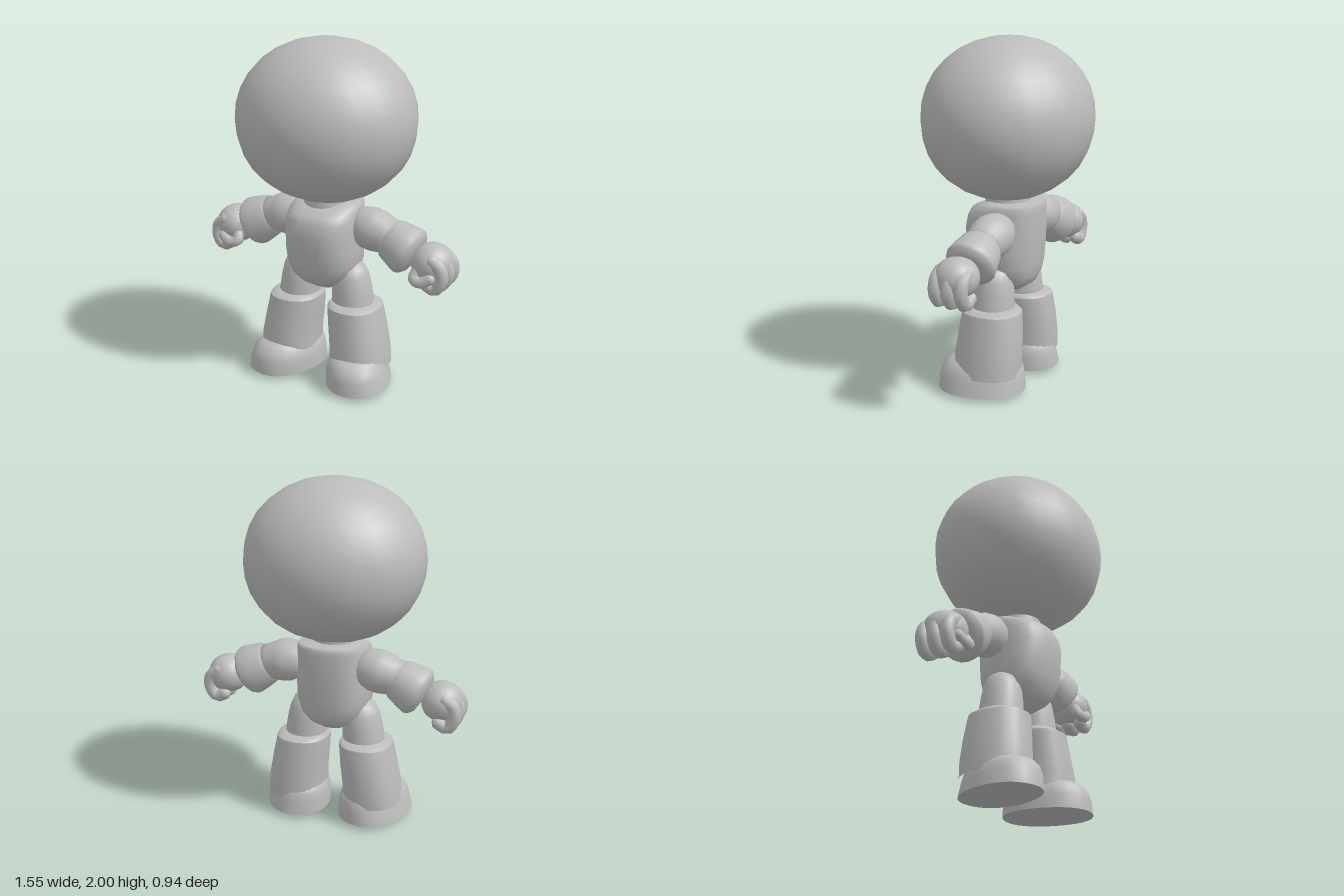
import * as THREE from 'three';
import { mergeGeometries } from 'three/addons/utils/BufferGeometryUtils.js';

const grey = new THREE.MeshStandardMaterial({ color: 0xbcbcbc });
grey.name = 'clay grey';

// Capped skin over rounded cross-sections, bottom to top: [y, cx, cz, rx, rz]
function loft(rings, power = 2, sides = 24) {
  const pos = [], idx = [];
  const bend = (v) => Math.sign(v) * Math.abs(v) ** (2 / power);
  for (const [y, cx, cz, rx, rz] of rings) {
    for (let i = 0; i < sides; i++) {
      const a = (i / sides) * Math.PI * 2;
      pos.push(cx + rx * bend(Math.cos(a)), y, cz + rz * bend(Math.sin(a)));
    }
  }
  for (let r = 0; r < rings.length - 1; r++) {
    for (let i = 0; i < sides; i++) {
      const j = (i + 1) % sides;
      const a = r * sides + i, b = r * sides + j;
      idx.push(a, a + sides, b, b, a + sides, b + sides);
    }
  }
  const g = new THREE.BufferGeometry();
  g.setAttribute('position', new THREE.Float32BufferAttribute(pos, 3));
  g.setIndex(idx);
  g.computeVertexNormals();
  return g;
}

// Round limb segment from p along the direction to q: profile of [distance, radius]
function limb(p, q, profile) {
  const start = new THREE.Vector3(...p);
  const dir = new THREE.Vector3(...q).sub(start).normalize();
  const g = loft(profile.map(([d, r]) => [d, 0, 0, r, r]), 2, 20);
  g.applyQuaternion(new THREE.Quaternion().setFromUnitVectors(new THREE.Vector3(0, 1, 0), dir));
  return g.translate(...p);
}

// Slightly squared ellipsoid
function blob(centre, radii, power = 2, w = 24, h = 16) {
  const g = new THREE.SphereGeometry(1, w, h);
  const p = g.attributes.position, v = new THREE.Vector3();
  for (let i = 0; i < p.count; i++) {
    v.fromBufferAttribute(p, i);
    const s = (Math.abs(v.x) ** power + Math.abs(v.y) ** power + Math.abs(v.z) ** power) ** (-1 / power);
    p.setXYZ(i, v.x * s, v.y * s, v.z * s);
  }
  return g.scale(...radii).translate(...centre);
}

// Curled finger with rounded ends
function finger(points, r) {
  const path = new THREE.CatmullRomCurve3(points.map((p) => new THREE.Vector3(...p)));
  const ends = [points[0], points[points.length - 1]];
  return mergeGeometries([
    new THREE.TubeGeometry(path, 12, r, 10),
    ...ends.map((e) => new THREE.SphereGeometry(r, 10, 8).translate(...e)),
  ]);
}

// Mirrored copy across x = 0, with the winding restored
function mirror(geometry) {
  const g = geometry.clone().applyMatrix4(new THREE.Matrix4().makeScale(-1, 1, 1));
  const a = g.index.array;
  for (let i = 0; i < a.length; i += 3) [a[i], a[i + 1]] = [a[i + 1], a[i]];
  return g;
}

export function createModel() {
  const model = new THREE.Group();
  model.name = 'figure';
  const add = (name, geometry) => {
    const m = new THREE.Mesh(geometry, grey);
    m.name = name;
    model.add(m);
  };
  const addPair = (name, geometry) => {
    add(name + 'Left', geometry);
    add(name + 'Right', mirror(geometry));
  };

  // Head and neck
  add('head', blob([0, 1.546, 0], [0.51, 0.454, 0.472], 2.1));
  add('neck', new THREE.CylinderGeometry(0.125, 0.135, 0.12, 24).translate(0, 1.08, 0));

  // Torso: [y, half width, front z, back z]
  const torso = [
    [0.545, 0, -0.01, -0.01], [0.565, 0.075, 0.07, -0.09], [0.61, 0.14, 0.145, -0.155],
    [0.66, 0.185, 0.185, -0.18], [0.73, 0.21, 0.21, -0.192], [0.82, 0.213, 0.226, -0.2],
    [0.92, 0.211, 0.235, -0.207], [0.99, 0.208, 0.22, -0.207], [1.035, 0.203, 0.195, -0.206],
    [1.065, 0.195, 0.13, -0.205], [1.085, 0.18, 0.08, -0.195], [1.09, 0, -0.05, -0.05],
  ];
  add('torso', loft(torso.map(([y, w, f, b]) => [y, 0, (f + b) / 2, w, (f - b) / 2]), 2.5, 28));

  // Arms
  const z = -0.045;
  addPair('upperArm', limb([0.15, 0.965, z], [0.41, 0.905, z], [
    [0, 0], [0, 0.08], [0.05, 0.105], [0.11, 0.124], [0.16, 0.122], [0.22, 0.108], [0.28, 0.1], [0.28, 0],
  ]));
  addPair('forearm', limb([0.372, 0.915, z], [0.54, 0.825, z], [
    [0, 0], [0, 0.103], [0, 0.103], [0.03, 0.122], [0.1, 0.138], [0.145, 0.146], [0.165, 0.138],
    [0.19, 0.105], [0.2, 0],
  ]));

  // Fists
  addPair('palm', blob([0.645, 0.808, z], [0.115, 0.11, 0.12], 2.2, 20, 14));
  for (const [name, fz, r] of [['frontFinger', 0.033, 0.038], ['middleFinger', -0.045, 0.041], ['backFinger', -0.122, 0.038]]) {
    addPair(name, finger([
      [0.675, 0.845, fz], [0.722, 0.81, fz], [0.734, 0.745, fz], [0.695, 0.685, fz], [0.645, 0.705, fz],
    ], r));
  }
  addPair('thumb', finger([
    [0.59, 0.78, 0.03], [0.58, 0.735, 0.058], [0.625, 0.724, 0.07], [0.675, 0.75, 0.058],
  ], 0.032));

  // Legs
  addPair('thigh', limb([0.183, 0.42, 0], [0.155, 0.72, 0], [
    [0, 0], [0, 0.125], [0.08, 0.122], [0.16, 0.116], [0.23, 0.106], [0.28, 0.088], [0.31, 0.05], [0.32, 0],
  ]));
  addPair('bootShaft', loft([
    [0.12, 0.232, 0.005, 0.17, 0.19], [0.22, 0.228, 0.005, 0.165, 0.193], [0.35, 0.209, 0, 0.16, 0.183],
    [0.46, 0.193, 0, 0.153, 0.17], [0.475, 0.191, 0, 0.15, 0.168], [0.475, 0.191, 0, 0.15, 0.168],
    [0.498, 0.18, 0, 0.125, 0.13], [0.505, 0.18, 0, 0, 0],
  ], 2.3));

  // Feet, toes turned outward
  const foot = loft([
    [0, 0, 0, 0, 0], [0.024, 0, 0, 0.188, 0.25], [0.024, 0, 0, 0.188, 0.25], [0.1, -0.008, 0, 0.178, 0.244],
    [0.15, -0.012, -0.004, 0.164, 0.23], [0.185, -0.014, -0.012, 0.142, 0.202],
    [0.21, -0.014, -0.02, 0.1, 0.15], [0.218, -0.014, -0.02, 0, 0],
  ], 2.2, 28);
  addPair('foot', foot.rotateY(0.32).translate(0.24, 0, 0.04));

  return model;
}
